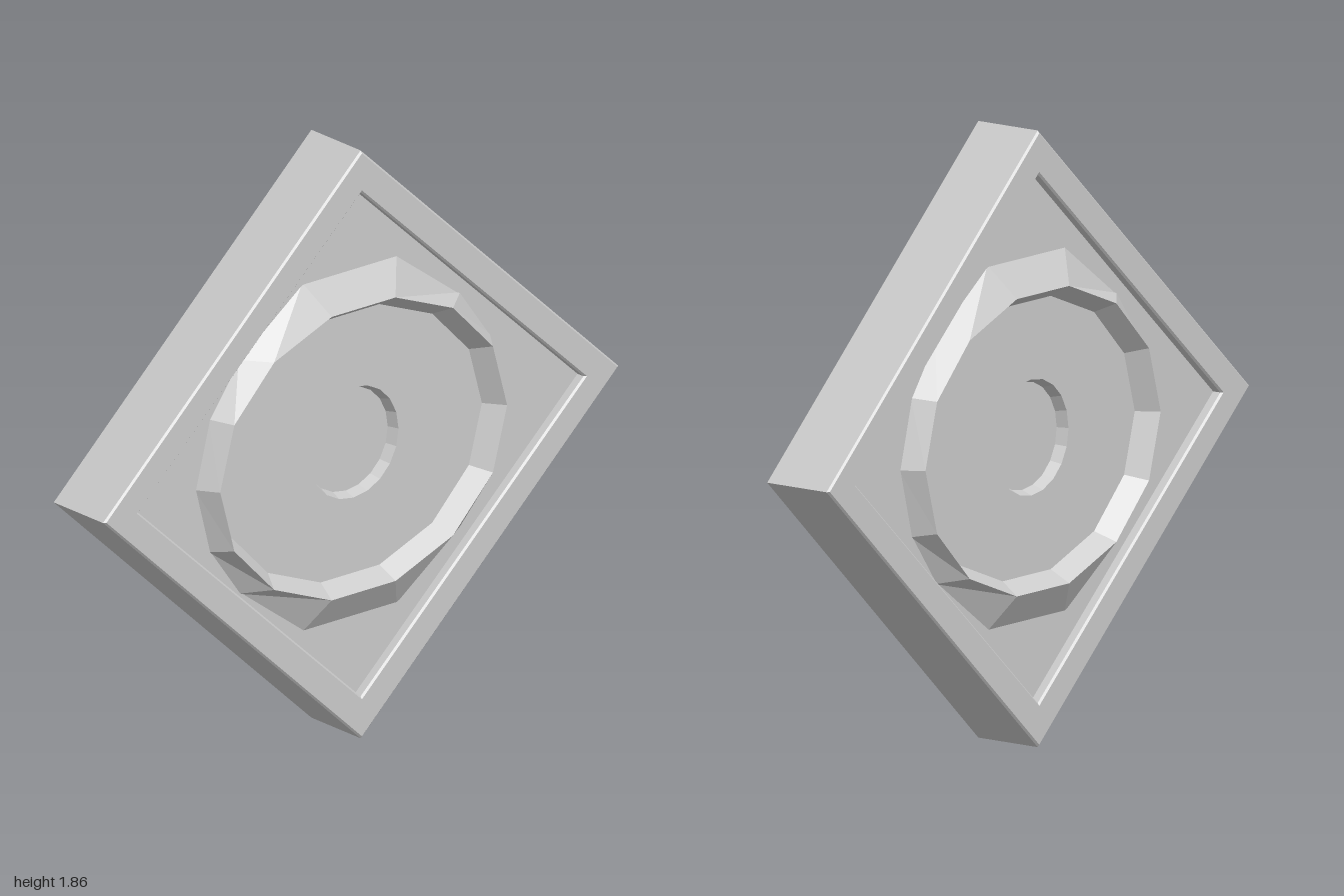
import * as THREE from 'three';

const grey = new THREE.MeshStandardMaterial({ color: 0xcccccc, flatShading: true });
const CY = 0.93;          // height of the centre
const PANEL_Z = 0.085;    // recessed face on either side

function diamond(w, h, Type = THREE.Shape) {
  const s = new Type();
  s.moveTo(w, 0);
  s.lineTo(0, h);
  s.lineTo(-w, 0);
  s.lineTo(0, -h);
  s.closePath();
  return s;
}

// Extrusion centred on z = 0, with a single inward chamfer of its rims
function plate(name, shape, hole, halfDepth, size, thickness) {
  shape.holes.push(hole);
  const depth = 2 * (halfDepth - thickness);
  const geo = new THREE.ExtrudeGeometry(shape, {
    depth, curveSegments: 10, bevelEnabled: true, bevelSegments: 1,
    bevelSize: size, bevelOffset: -size, bevelThickness: thickness,
  });
  geo.translate(0, 0, -depth / 2);
  const mesh = new THREE.Mesh(geo, grey);
  mesh.name = name;
  return mesh;
}

// Mirror one quadrant (four corners) into a closed 14-sided outline
function outline(q, z) {
  const right = [...q.slice(1).reverse().map(([x, y]) => [x, -y]), ...q];
  const left = right.map(([x, y]) => [-x, -y]);
  return [...right, ...left].map(([x, y]) => [x, y, z]);
}

// Faceted ridge: outer foot, crest, inner foot
function ridgeGeometry() {
  const crest = [0, 1, 2, 3].map((k) => {
    const a = (k * Math.PI) / 7;
    return [0.557 * Math.cos(a), 0.46 * Math.sin(a)];
  });
  const rows = [
    outline([[0.6, 0], [0.545, 0.21], [0.43, 0.37], [0.183, 0.552]], PANEL_Z - 0.003),
    outline(crest, 0.147),
    outline(crest.map(([x, y]) => [x * 0.915, y * 0.915]), PANEL_Z - 0.003),
  ];
  const pos = [];
  for (let r = 0; r < 2; r++) {
    const n = rows[r].length;
    for (let i = 0; i < n; i++) {
      const j = (i + 1) % n;
      const [a, b, c, d] = [rows[r][i], rows[r][j], rows[r + 1][j], rows[r + 1][i]];
      pos.push(...a, ...b, ...c, ...a, ...c, ...d);
    }
  }
  const geo = new THREE.BufferGeometry();
  geo.setAttribute('position', new THREE.Float32BufferAttribute(pos, 3));
  geo.computeVertexNormals();
  return geo;
}

export function createModel() {
  const group = new THREE.Group();
  group.name = 'diamondTile';
  const body = new THREE.Group();
  body.name = 'body';
  body.position.y = CY;
  group.add(body);

  // Raised diamond border
  body.add(plate('frame', diamond(1, CY), diamond(0.865, 0.797, THREE.Path), 0.118, 0.006, 0.006));

  // Recessed panel with a shallow round dimple through both faces
  const dimple = new THREE.Path().absarc(-0.005, 0, 0.163, 0, Math.PI * 2, true);
  body.add(plate('panel', diamond(0.92, 0.85), dimple, PANEL_Z, 0.012, 0.035));

  // Floor of the dimples
  const floor = new THREE.Mesh(new THREE.CylinderGeometry(0.175, 0.175, 0.1, 20), grey);
  floor.name = 'dimpleFloor';
  floor.rotation.x = Math.PI / 2;
  body.add(floor);

  // A ridge on each face, the back one turned half round
  const geo = ridgeGeometry();
  ['frontRidge', 'backRidge'].forEach((name, i) => {
    const ridge = new THREE.Mesh(geo, grey);
    ridge.name = name;
    ridge.rotation.y = i * Math.PI;
    ridge.position.x = i ? 0.018 : -0.018;
    body.add(ridge);
  });
  return group;
}
